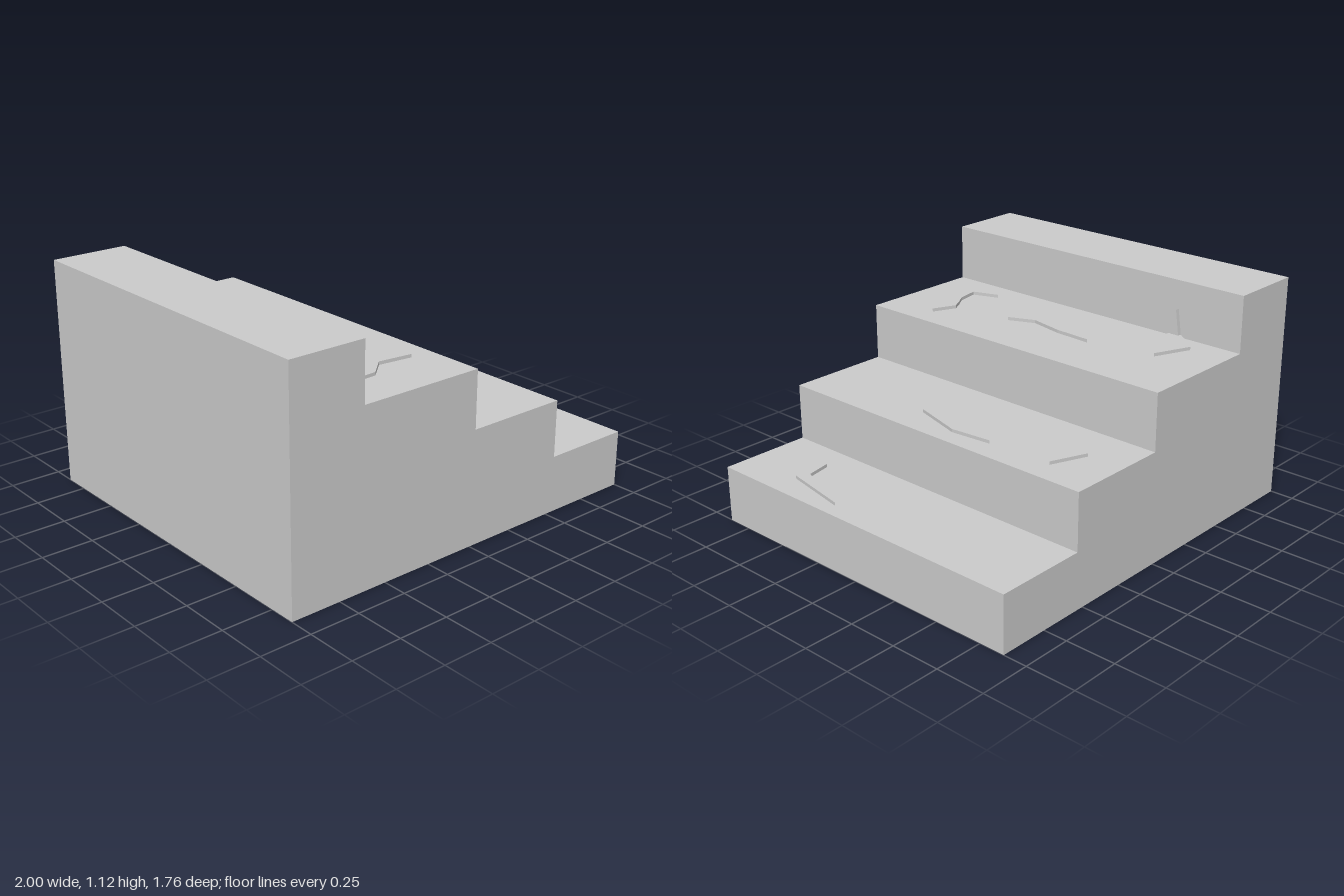
import * as THREE from 'three';

const material = new THREE.MeshStandardMaterial({ color: 0xcccccc, flatShading: true });
const DEPTH = 1.76;
const CHIP = 0.016;

function extrude(name, points, depth) {
  const shape = new THREE.Shape(points.map(([x, y]) => new THREE.Vector2(x, y)));
  const mesh = new THREE.Mesh(new THREE.ExtrudeGeometry(shape, { depth, bevelEnabled: false }), material);
  mesh.name = name;
  return mesh;
}

// Thin flat fragment lying on a tread, outlined by [x, z] corners
function chip(name, y, outline) {
  const mesh = extrude(name, outline.map(([x, z]) => [x, -z]), CHIP);
  mesh.geometry.rotateX(-Math.PI / 2);
  mesh.position.y = y;
  return mesh;
}

export function createModel() {
  const group = new THREE.Group();

  // Solid stair block: [right edge x, tread height] per step
  const steps = [[1, 0.28], [0.54, 0.56], [0.015, 0.84], [-0.62, 1.12]];
  const profile = [[-1, 0], [1, 0]];
  steps.forEach(([x, y], i) => {
    profile.push([x, y], [i < 3 ? steps[i + 1][0] : -1, y]);
  });
  const stairs = extrude('stairs', profile, DEPTH);
  stairs.geometry.translate(0, 0, -DEPTH / 2);
  group.add(stairs);

  // Fragments scattered over the treads
  const [low, middle, high] = steps.map((s) => s[1]);
  group.add(
    chip('cornerFragment', high, [[-0.61, -0.56], [-0.51, -0.68], [-0.33, -0.605], [-0.565, -0.483], [-0.615, -0.5]]),
    chip('longFragment', high, [[-0.27, -0.26], [-0.28, -0.07], [-0.315, 0.1], [-0.26, 0.23], [-0.365, 0.25], [-0.42, 0.02]]),
    chip('hookedFragment', high, [[-0.485, 0.5], [-0.44, 0.63], [-0.33, 0.61], [-0.275, 0.575], [-0.37, 0.66], [-0.465, 0.665]]),
    chip('hookedFragmentTip', high, [[-0.275, 0.575], [-0.22, 0.545], [-0.105, 0.595]]),
    chip('bentFragment', middle, [[0.18, -0.57], [0.245, -0.69], [0.42, -0.62], [0.285, -0.64]]),
    chip('splinterBack', middle, [[0.43, -0.28], [0.45, -0.07], [0.385, -0.19]]),
    chip('splinterFront', middle, [[0.45, -0.07], [0.375, 0.19], [0.36, 0.06]]),
    chip('lowFragment', low, [[0.93, 0.195], [0.865, 0.54], [0.79, 0.585], [0.685, 0.53], [0.81, 0.505]]),
  );

  // Upright shard leaning against the top riser
  const shard = extrude('uprightShard', [[0.5, 0.845], [0.55, 0.845], [0.53, 0.98]], 0.022);
  shard.geometry.rotateY(Math.PI / 2);
  shard.position.x = -0.619;
  group.add(shard);

  return group;
}
